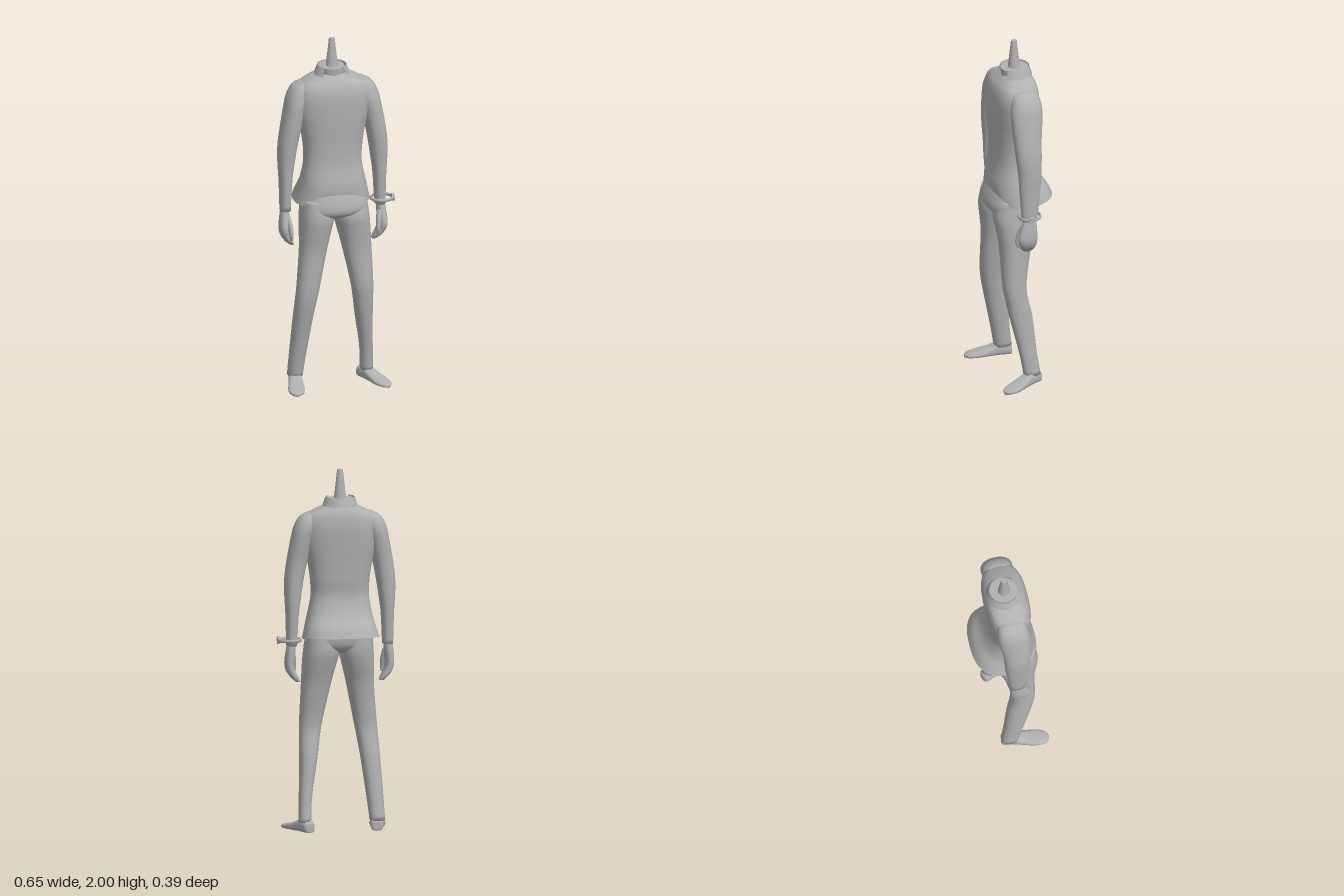
import * as THREE from 'three';

const CX = -0.018; // the body stands slightly off the axis

// Smooth skin through sections [y, x0, x1, z0, z1] with superellipse rings
function loft(sections, { n = 2.3, seg = 32, steps = 6, caps = true, tweak } = {}) {
  const s = sections.slice().sort((a, b) => a[0] - b[0]);
  const curve = (a, b) => new THREE.CatmullRomCurve3(
    s.map(p => new THREE.Vector3(p[a], p[0], p[b])), false, 'catmullrom', 0.5);
  const cx = curve(1, 2), cz = curve(3, 4);
  const rows = (s.length - 1) * steps, pos = [], idx = [];
  const pw = v => Math.sign(v) * Math.pow(Math.abs(v), 2 / n);
  for (let i = 0; i <= rows; i++) {
    const px = cx.getPoint(i / rows), pz = cz.getPoint(i / rows);
    for (let j = 0; j < seg; j++) {
      const a = j / seg * Math.PI * 2;
      const v = new THREE.Vector3(
        (px.x + px.z) / 2 + pw(Math.cos(a)) * (px.z - px.x) / 2, px.y,
        (pz.x + pz.z) / 2 + pw(Math.sin(a)) * (pz.z - pz.x) / 2);
      if (tweak) tweak(v);
      pos.push(v.x, v.y, v.z);
      const k = (j + 1) % seg, p = i * seg;
      if (i < rows) idx.push(p + j, p + seg + j, p + k, p + k, p + seg + j, p + seg + k);
    }
  }
  if (caps) for (const [r, up] of [[0, false], [rows, true]]) {
    const q = s[up ? s.length - 1 : 0], c = pos.length / 3;
    pos.push((q[1] + q[2]) / 2, q[0], (q[3] + q[4]) / 2);
    for (let j = 0; j < seg; j++) {
      const a = r * seg + j, b = r * seg + (j + 1) % seg;
      if (up) idx.push(c, b, a); else idx.push(c, a, b);
    }
  }
  const g = new THREE.BufferGeometry();
  g.setAttribute('position', new THREE.Float32BufferAttribute(pos, 3));
  g.setIndex(idx);
  g.computeVertexNormals();
  return g;
}

export function createModel() {
  const model = new THREE.Group();
  const grey = new THREE.MeshStandardMaterial({ color: 0xb0b0b0, side: THREE.DoubleSide });
  grey.name = 'plainGrey';
  const add = (name, geo, x = 0, y = 0, z = 0) => {
    const m = new THREE.Mesh(geo, grey);
    m.name = name;
    m.position.set(x, y, z);
    model.add(m);
    return m;
  };

  // Jacket, flared at the back and cut away at the front of the hem
  add('jacket', loft([
    [1.81, -0.09, 0.06, -0.08, 0.06], [1.785, -0.15, 0.115, -0.1, 0.085],
    [1.75, -0.205, 0.17, -0.112, 0.112], [1.69, -0.225, 0.19, -0.118, 0.127],
    [1.6, -0.22, 0.183, -0.113, 0.128], [1.5, -0.198, 0.16, -0.105, 0.124],
    [1.4, -0.182, 0.145, -0.098, 0.12], [1.3, -0.18, 0.14, -0.092, 0.122],
    [1.2, -0.195, 0.16, -0.127, 0.138], [1.13, -0.212, 0.178, -0.175, 0.142],
    [1.07, -0.23, 0.192, -0.2, 0.14]], {
    n: 2.6, seg: 64, tweak: v => {
      const t = Math.max(0, (1.22 - v.y) / 0.15);
      const front = v.z > 0 ? 1 - THREE.MathUtils.smoothstep(Math.abs(v.x - CX), 0.1, 0.16) : 0;
      const back = v.z < 0 ? THREE.MathUtils.smoothstep(-v.z, 0, 0.18) : 0;
      v.y += t * (0.055 * front + 0.02 * back);
    }, caps: false }));

  // Trousers: seat and two legs
  add('trouserSeat', loft([
    [1.18, -0.17, 0.135, -0.08, 0.12], [1.12, -0.19, 0.155, -0.1, 0.148],
    [1.06, -0.2, 0.168, -0.1, 0.165], [1.02, -0.185, 0.15, -0.085, 0.155],
    [0.99, -0.1, 0.07, -0.045, 0.11]], { n: 2.4 }));
  add('rightLeg', loft([
    [1.1, -0.2, -0.02, -0.09, 0.14], [1.0, -0.207, -0.018, -0.09, 0.158],
    [0.92, -0.21, -0.035, -0.072, 0.15], [0.8, -0.213, -0.063, -0.035, 0.134],
    [0.6, -0.23, -0.103, -0.005, 0.13], [0.5, -0.238, -0.122, -0.012, 0.12],
    [0.4, -0.245, -0.138, -0.03, 0.1], [0.2, -0.257, -0.164, -0.052, 0.055],
    [0.06, -0.264, -0.18, -0.07, 0.028]]));
  add('leftLeg', loft([
    [1.1, -0.02, 0.165, -0.09, 0.13], [1.0, -0.02, 0.178, -0.095, 0.15],
    [0.92, 0, 0.185, -0.078, 0.14], [0.8, 0.03, 0.19, -0.045, 0.125],
    [0.6, 0.073, 0.198, -0.012, 0.12], [0.5, 0.09, 0.2, -0.022, 0.105],
    [0.4, 0.105, 0.202, -0.042, 0.085], [0.2, 0.138, 0.21, -0.06, 0.04],
    [0.06, 0.147, 0.216, -0.08, 0.015]]));

  // Shoes, lofted from heel to toe and turned outwards
  const shoe = loft([
    [-0.05, -0.02, 0.02, -0.05, 0], [-0.035, -0.034, 0.034, -0.065, 0],
    [0.02, -0.036, 0.036, -0.075, 0], [0.07, -0.04, 0.04, -0.056, 0],
    [0.14, -0.045, 0.045, -0.036, 0], [0.19, -0.036, 0.036, -0.026, 0],
    [0.213, -0.012, 0.012, -0.016, 0]], { n: 2.7, seg: 24 }).rotateX(Math.PI / 2);
  add('rightShoe', shoe, -0.221, 0.003, -0.02).rotation.y = -0.17;
  add('leftShoe', shoe, 0.177, 0.003, -0.038).rotation.y = 0.42;

  // Sleeves, hands and thumbs; the two sides are mirrored about the body axis
  const sleeve = [
    [1.765, 0.15, 0.185, -0.045, 0.04], [1.74, 0.12, 0.225, -0.075, 0.07],
    [1.69, 0.125, 0.253, -0.088, 0.085], [1.63, 0.15, 0.268, -0.086, 0.092],
    [1.5, 0.18, 0.292, -0.07, 0.088], [1.4, 0.2, 0.305, -0.064, 0.08],
    [1.3, 0.215, 0.305, -0.06, 0.07], [1.2, 0.228, 0.299, -0.052, 0.065],
    [1.03, 0.236, 0.295, -0.035, 0.052]];
  const hand = [
    [1.05, 0.245, 0.288, -0.025, 0.04], [0.99, 0.246, 0.298, -0.03, 0.06],
    [0.93, 0.252, 0.302, -0.032, 0.078], [0.89, 0.245, 0.295, -0.03, 0.07],
    [0.855, 0.228, 0.272, -0.026, 0.055], [0.83, 0.216, 0.245, -0.015, 0.03]];
  const thumb = [
    [1.0, 0.244, 0.27, 0.02, 0.055], [0.95, 0.234, 0.262, 0.035, 0.075],
    [0.9, 0.232, 0.255, 0.05, 0.084], [0.868, 0.236, 0.25, 0.055, 0.075]];
  for (const [side, k] of [['right', -1], ['left', 1]]) {
    const place = list => list.map(([y, a, b, z0, z1]) =>
      [y, ...(k > 0 ? [CX + a, CX + b] : [CX - b, CX - a]), z0, z1]);
    add(side + 'Sleeve', loft(place(sleeve)));
    add(side + 'Hand', loft(place(hand), { seg: 20 }));
    add(side + 'Thumb', loft(place(thumb), { seg: 12 }));
  }

  // Neck stub, pointed neck peg and turned-down collar
  add('neck', new THREE.CylinderGeometry(0.07, 0.064, 0.09, 24), CX, 1.798, -0.008).scale.z = 1.1;
  add('neckPeg', new THREE.CylinderGeometry(0.016, 0.035, 0.17, 16), CX, 1.915, -0.006);
  const arc = [32, 1, true, 0.75, Math.PI * 2 - 1.5];
  add('collarStand', new THREE.CylinderGeometry(0.08, 0.072, 0.06, ...arc), CX, 1.82, -0.008);
  add('collarFold', new THREE.CylinderGeometry(0.08, 0.098, 0.05, ...arc), CX, 1.825, -0.008);

  // Loose wristwatch on the left arm
  add('watchStrap', new THREE.TorusGeometry(0.06, 0.006, 8, 40).rotateX(Math.PI / 2).scale(1, 1.6, 1),
    0.257, 1.06, 0.013);
  add('watchFace', new THREE.CylinderGeometry(0.021, 0.021, 0.014, 20).rotateZ(Math.PI / 2),
    0.318, 1.06, 0.02);
  return model;
}
